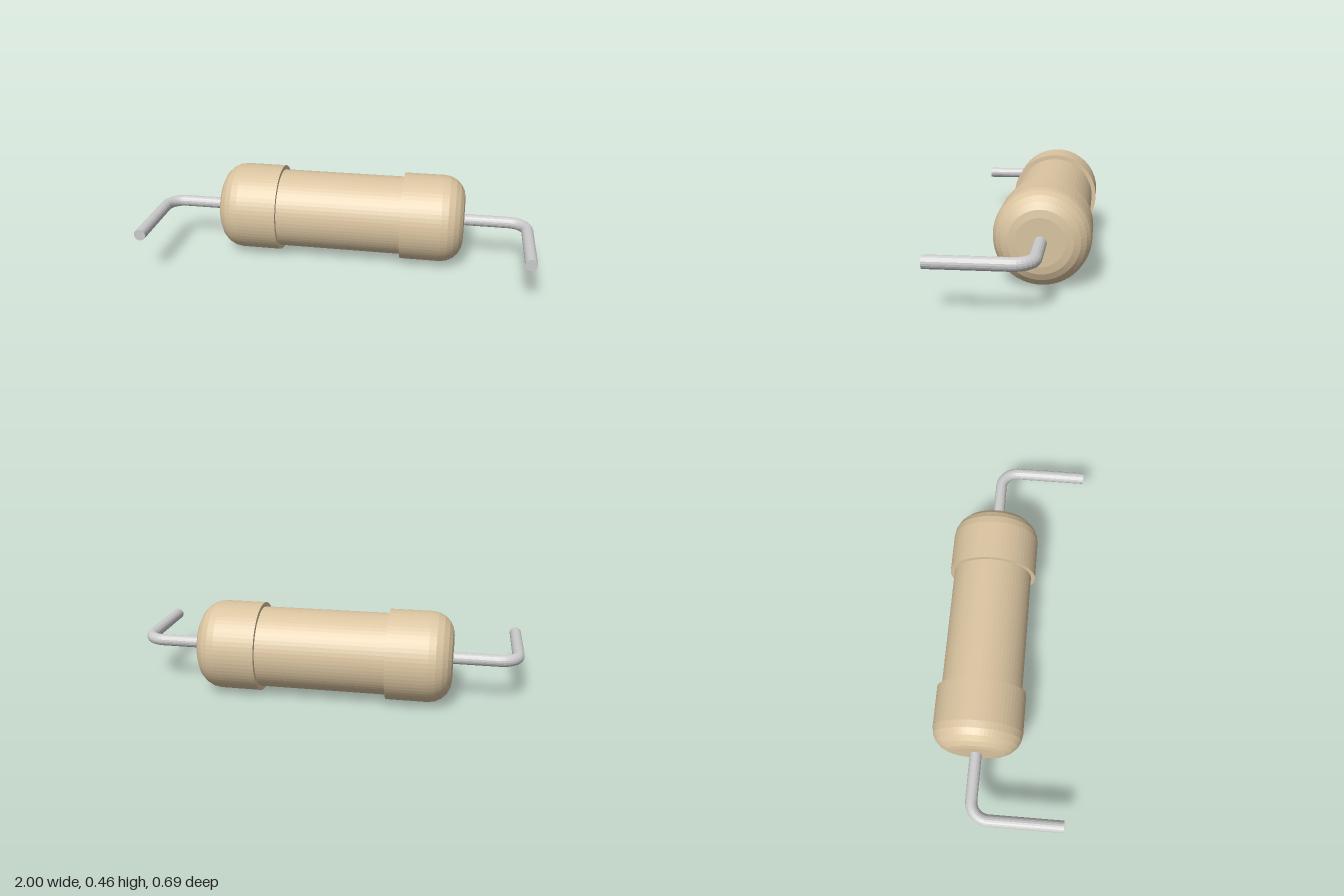
import * as THREE from 'three';

const AXIS_Y = 0.23, AXIS_Z = -0.115;     // body axis
const CAP_R = 0.229, MID_R = 0.207, FILLET = 0.115;
const END_X = 0.648, CAP_X = 0.325;       // outer and inner end of each cap
const WIRE_R = 0.03, WIRE_X = 0.97, WIRE_Z = 0.343, BEND_R = 0.09;

export function createModel() {
  const model = new THREE.Group();
  model.name = 'resistor';
  const tan = new THREE.MeshStandardMaterial({ color: 0xdac4a0, flatShading: true });
  const metal = new THREE.MeshStandardMaterial({ color: 0xcccccc, flatShading: true });

  const add = (parent, name, geometry, material, x, y, z) => {
    const mesh = new THREE.Mesh(geometry, material);
    mesh.name = name;
    mesh.position.set(x, y, z);
    parent.add(mesh);
    return mesh;
  };

  // Body: one turned profile, rounded caps stepping down to a slimmer middle
  const half = [new THREE.Vector2(0, END_X)];
  for (let i = 0; i <= 5; i++) {
    const a = (i / 5) * Math.PI / 2;
    half.push(new THREE.Vector2(
      CAP_R - FILLET + FILLET * Math.sin(a),
      END_X - FILLET + FILLET * Math.cos(a)));
  }
  half.push(new THREE.Vector2(CAP_R, CAP_X), new THREE.Vector2(MID_R, CAP_X));
  const profile = [
    ...half.map(p => new THREE.Vector2(p.x, -p.y)),
    ...half.slice().reverse(),
  ];
  const body = new THREE.LatheGeometry(profile, 64).rotateZ(-Math.PI / 2);
  add(model, 'body', body, tan, 0, AXIS_Y, AXIS_Z);

  // Wire leads: straight stub, quarter bend, then a leg towards the front
  const bendX = WIRE_X - BEND_R, bendZ = AXIS_Z + BEND_R;
  const stubStart = END_X - 0.03;
  for (const side of [1, -1]) {
    const lead = new THREE.Group();
    lead.name = side > 0 ? 'leftLead' : 'rightLead';
    model.add(lead);

    const stub = new THREE.CylinderGeometry(WIRE_R, WIRE_R, bendX - stubStart, 20, 1, true)
      .rotateZ(Math.PI / 2);
    add(lead, 'leadStub', stub, metal, side * (bendX + stubStart) / 2, AXIS_Y, AXIS_Z);

    const bend = new THREE.TorusGeometry(BEND_R, WIRE_R, 20, 8, Math.PI / 2)
      .rotateX(-Math.PI / 2);
    if (side < 0) bend.rotateY(Math.PI / 2);
    add(lead, 'leadBend', bend, metal, side * bendX, AXIS_Y, bendZ);

    const leg = new THREE.CylinderGeometry(WIRE_R, WIRE_R, WIRE_Z - bendZ, 20)
      .rotateX(Math.PI / 2);
    add(lead, 'leadLeg', leg, metal, side * WIRE_X, AXIS_Y, (WIRE_Z + bendZ) / 2);
  }

  return model;
}
